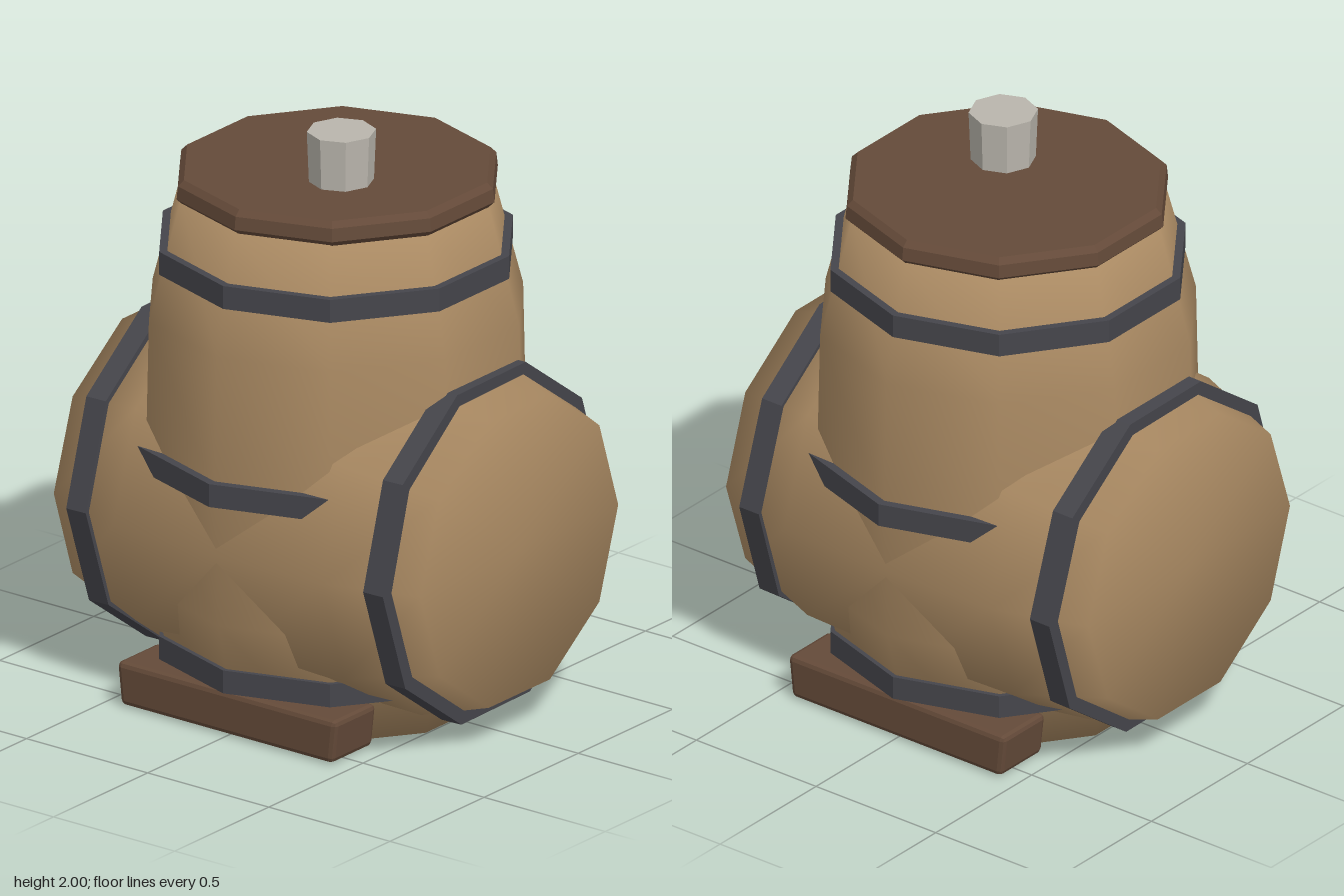
import * as THREE from 'three';
import { RoundedBoxGeometry } from 'three/addons/geometries/RoundedBoxGeometry.js';

const SIDES = 10;

function material(name, color, flatShading) {
  const m = new THREE.MeshStandardMaterial({ color, flatShading });
  m.name = name;
  return m;
}

// Solid or ring turned around the y axis from [radius, height] pairs
function turned(points) {
  return new THREE.LatheGeometry(points.map(([r, y]) => new THREE.Vector2(r, y)), SIDES);
}

export function createModel() {
  const wood = material('barrelWood', 0xa98962, false);
  const darkWood = material('darkWood', 0x644a39, true);
  const iron = material('iron', 0x45454b, true);
  const cork = material('paleCork', 0xb9b5ac, true);

  const model = new THREE.Group();
  model.name = 'crossedBarrels';

  const add = (name, geometry, mat, parent = model) => {
    const mesh = new THREE.Mesh(geometry, mat);
    mesh.name = name;
    parent.add(mesh);
    return mesh;
  };

  const hoop = (name, r, height, parent = model) => {
    const h = 0.04, t = 0.05;
    const mesh = add(name, turned([[r - t, -h], [r, -h], [r, h], [r - t, h], [r - t, -h]]), iron, parent);
    mesh.position.y = height;
    return mesh;
  };

  // Upright barrel with three hoops
  add('uprightBarrel', turned([
    [0, 0], [0.52, 0], [0.628, 0.4], [0.645, 0.87], [0.635, 1.34], [0.525, 1.76], [0, 1.76],
  ]), wood);
  hoop('lowerHoop', 0.6, 0.195);
  hoop('middleHoop', 0.675, 0.87);
  hoop('upperHoop', 0.6, 1.54);

  // Lying barrel, turned on its side, with a slightly crooked hoop at each end
  const lying = new THREE.Group();
  lying.name = 'lyingBarrel';
  lying.position.y = 0.65;
  lying.rotation.z = Math.PI / 2;
  model.add(lying);
  add('lyingBarrelBody', turned([
    [0, -0.757], [0.525, -0.757], [0.63, -0.43], [0.645, 0], [0.63, 0.43], [0.525, 0.757], [0, 0.757],
  ]), wood, lying);
  for (const s of [-1, 1]) {
    const end = hoop(s < 0 ? 'leftHoop' : 'rightHoop', 0.604, s * 0.61, lying);
    end.rotation.set(s < 0 ? 0.02 : 0.01, 0, 0.015);
  }

  // Bevelled, slightly tilted lid
  const lid = add('lid', turned([
    [0, -0.045], [0.52, -0.045], [0.545, -0.02], [0.54, 0.025], [0.52, 0.045], [0, 0.045],
  ]), darkWood);
  lid.position.set(0.005, 1.78, 0);
  lid.rotation.z = 0.005;

  // Eight-sided stopper, off centre on the lid
  const stopper = add('stopper', new THREE.CylinderGeometry(0.114, 0.106, 0.2, 8), cork);
  stopper.position.set(0.108, 1.9, 0.11);

  // Two roughly cut feet, narrower towards the ground
  for (const [name, z] of [['frontFoot', 0.475], ['backFoot', -0.475]]) {
    const g = new RoundedBoxGeometry(0.89, 0.15, 0.22, 1, 0.018);
    const p = g.attributes.position;
    for (let i = 0; i < p.count; i++) {
      p.setX(i, p.getX(i) * (1 + p.getY(i) * 0.25));
    }
    add(name, g, darkWood).position.set(0, 0.08, z);
  }

  return model;
}
